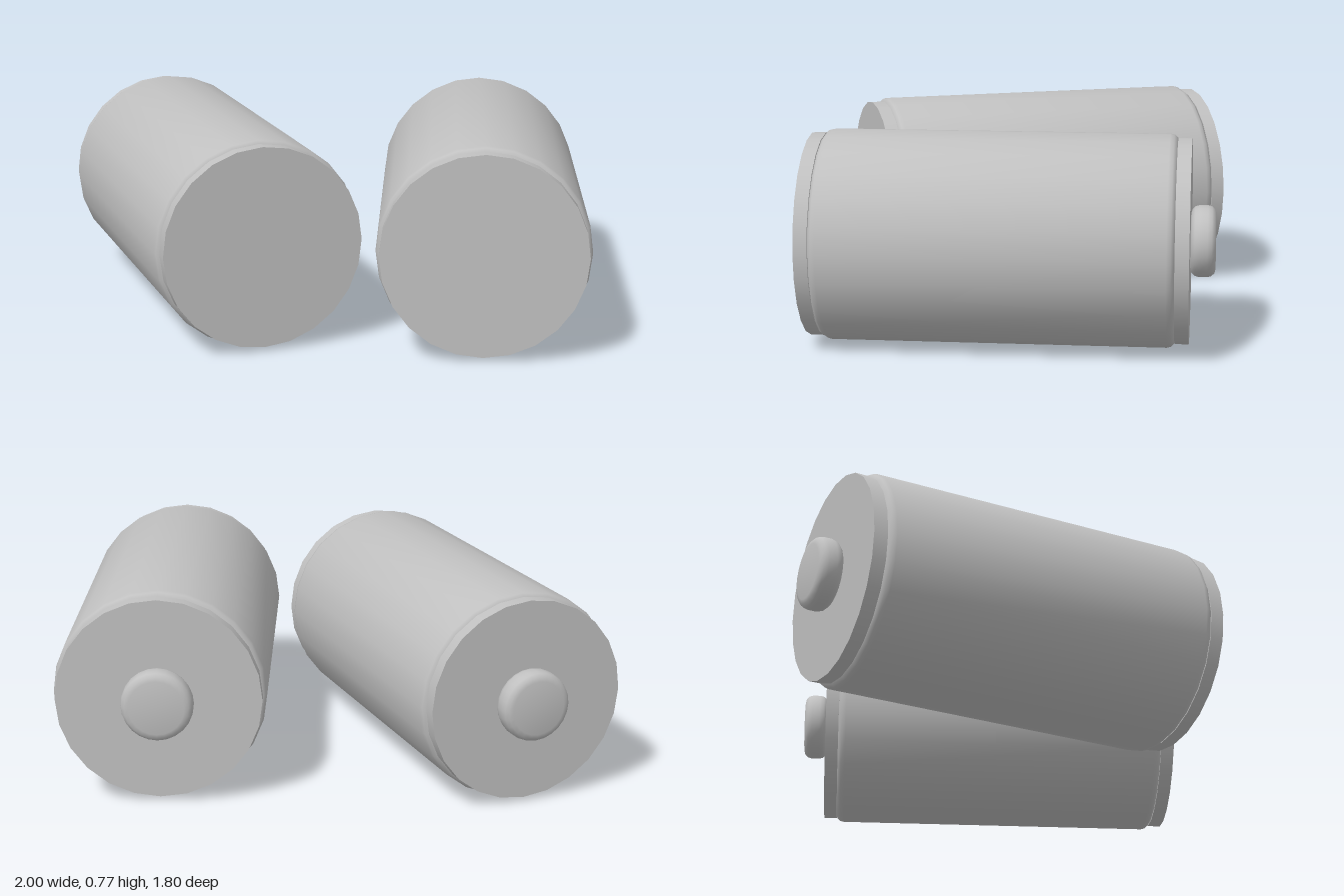
import * as THREE from 'three';
import { toCreasedNormals } from 'three/addons/utils/BufferGeometryUtils.js';

const SEGMENTS = 24;
const RADIUS = 0.384;      // casing radius
const CAP_RADIUS = 0.37;
const HALF = 0.684;        // axis centre to outer cap face
const CAP = 0.05;          // cap thickness

// Solid of revolution with rounded rims, running from y0 to y1
function roundedDrum(radius, y0, y1, bevel, steps = 3) {
  const pts = [new THREE.Vector2(0, y0)];
  for (const [cy, start] of [[y0 + bevel, -Math.PI / 2], [y1 - bevel, 0]]) {
    for (let i = 0; i <= steps; i++) {
      const a = start + (i / steps) * Math.PI / 2;
      pts.push(new THREE.Vector2(radius - bevel + bevel * Math.cos(a), cy + bevel * Math.sin(a)));
    }
  }
  pts.push(new THREE.Vector2(0, y1));
  return toCreasedNormals(new THREE.LatheGeometry(pts, SEGMENTS), 0.6);
}

function createBattery(name, material) {
  const battery = new THREE.Group();
  battery.name = name;
  const add = (part, geometry, y = 0) => {
    geometry.translate(0, y, 0);
    geometry.rotateX(-Math.PI / 2); // the terminal end points to the back
    const mesh = new THREE.Mesh(geometry, material);
    mesh.name = part;
    battery.add(mesh);
  };

  const bodyEnd = HALF - CAP + 0.002;
  add('casing', roundedDrum(RADIUS, -bodyEnd, bodyEnd, 0.03));
  const capY = HALF - CAP / 2;
  add('negativeCap', new THREE.CylinderGeometry(CAP_RADIUS, CAP_RADIUS, CAP, SEGMENTS), -capY);
  add('positiveCap', new THREE.CylinderGeometry(CAP_RADIUS, CAP_RADIUS, CAP, SEGMENTS), capY);
  add('positiveTerminal', roundedDrum(0.129, HALF, HALF + 0.09, 0.03));
  return battery;
}

export function createModel() {
  const model = new THREE.Group();
  model.name = 'batteryPair';
  const grey = new THREE.MeshStandardMaterial({ color: 0xc0c0c0 });
  grey.name = 'grey';

  // Two batteries lying side by side, spread apart at the back
  const rightBattery = createBattery('rightBattery', grey);
  rightBattery.position.set(-0.529, RADIUS, -0.128);
  rightBattery.rotation.y = THREE.MathUtils.degToRad(9.1);

  const leftBattery = createBattery('leftBattery', grey);
  leftBattery.position.set(0.479, RADIUS, 0.145);
  leftBattery.rotation.y = THREE.MathUtils.degToRad(-13.6);

  model.add(rightBattery, leftBattery);
  return model;
}
